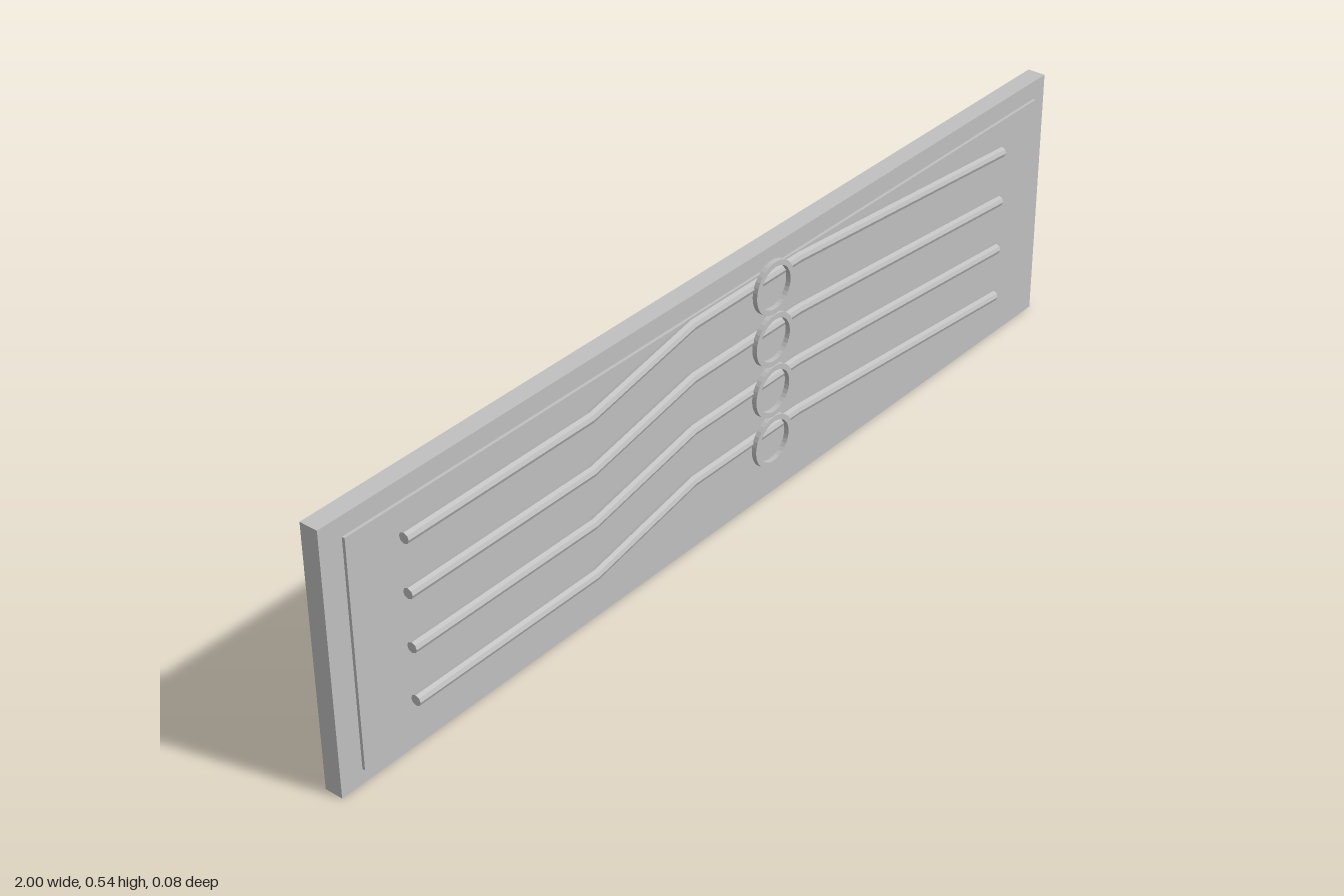
import * as THREE from 'three';

const grey = new THREE.MeshStandardMaterial({ color: 0xc0c0c0, flatShading: true });
grey.name = 'plain grey';

const ROWS = 4, ROW_STEP = 0.109;

function addMesh(parent, name, geometry, x, y, z) {
  const mesh = new THREE.Mesh(geometry, grey);
  mesh.name = name;
  mesh.position.set(x, y, z);
  parent.add(mesh);
}

// Rod: an eight-sided cylinder bent along straight runs with mitred joints
function rodGeometry(path, radius) {
  const points = path.map(([x, y]) => new THREE.Vector2(x, y));
  const runs = points.length - 1;
  const direction = i => points[i + 1].clone().sub(points[i]).normalize();
  const geometry = new THREE.CylinderGeometry(radius, radius, 1, 8, runs);
  const pos = geometry.attributes.position;
  for (let k = 0; k < pos.count; k++) {
    const i = Math.round((pos.getY(k) + 0.5) * runs);
    const before = direction(Math.max(i - 1, 0));
    const tangent = before.clone().add(direction(Math.min(i, runs - 1))).normalize();
    const side = -pos.getX(k) / tangent.dot(before);
    pos.setXYZ(k, points[i].x - tangent.y * side, points[i].y + tangent.x * side, pos.getZ(k));
  }
  geometry.computeVertexNormals();
  return geometry;
}

// Flat ring with square section
function ringGeometry(outer, inner, depth) {
  const shape = new THREE.Shape().absarc(0, 0, outer, 0, Math.PI * 2, false);
  shape.holes.push(new THREE.Path().absarc(0, 0, inner, 0, Math.PI * 2, true));
  return new THREE.ExtrudeGeometry(shape, { depth, bevelEnabled: false, curveSegments: 16 });
}

export function createModel() {
  const model = new THREE.Group();
  model.name = 'wallPanel';

  // Backing board and the thin sheet floating in front of it
  addMesh(model, 'backBoard', new THREE.BoxGeometry(2, 0.535, 0.038), 0, 0.2675, -0.019);
  addMesh(model, 'frontSheet', new THREE.BoxGeometry(1.91, 0.465, 0.006), 0, 0.2685, 0.008);

  // Bent rods, each with a ring in front
  const rod = rodGeometry([[-0.84, 0], [-0.394, 0], [-0.126, 0.055], [0.175, 0.055], [0.827, 0]], 0.0108);
  const ring = ringGeometry(0.0535, 0.043, 0.01);
  for (let i = 0; i < ROWS; i++) {
    addMesh(model, 'rod' + (i + 1), rod, 0, 0.1145 + i * ROW_STEP, 0.021);
    addMesh(model, 'ring' + (i + 1), ring, 0.087, 0.1535 + i * ROW_STEP, 0.03);
  }
  return model;
}
